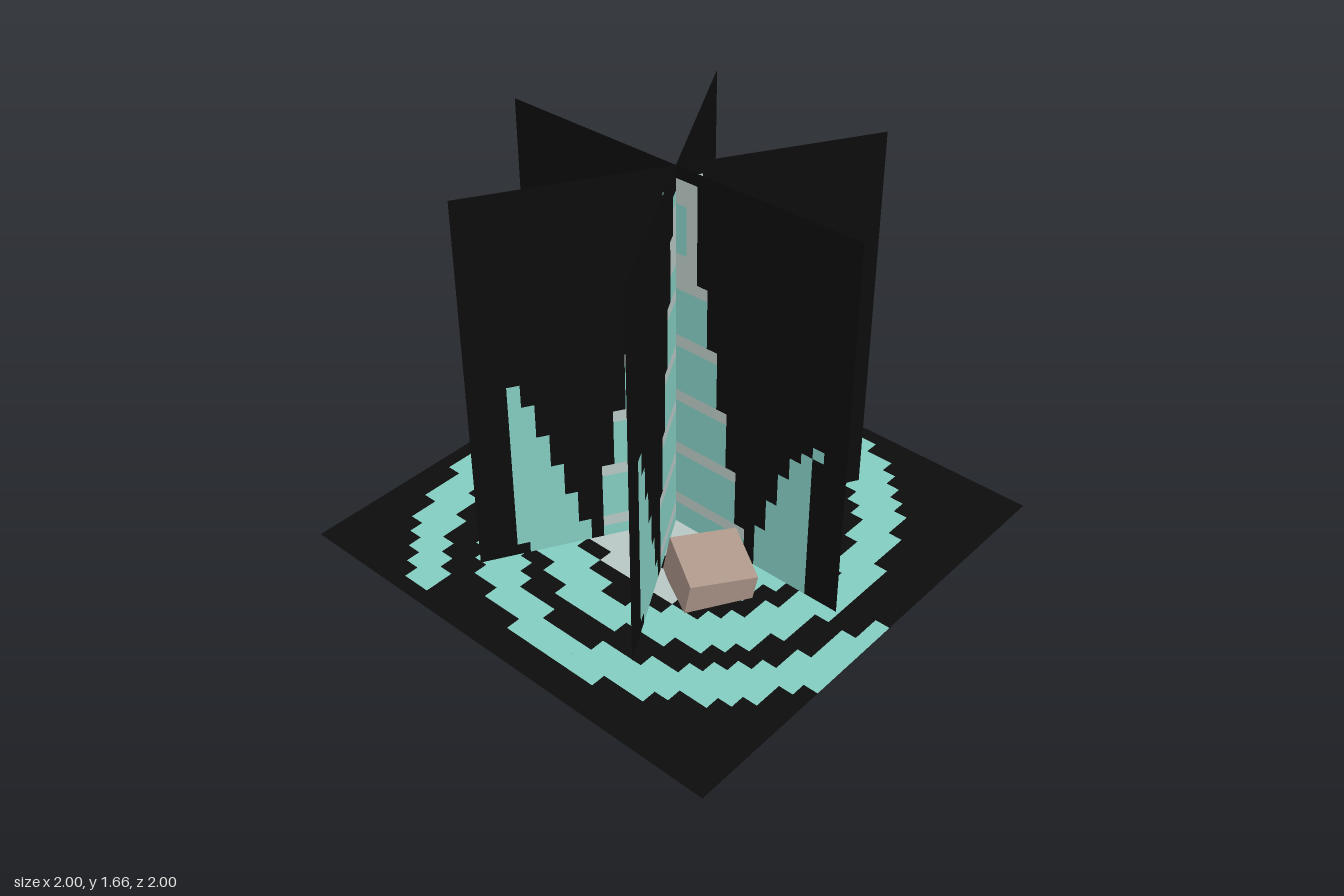
import * as THREE from 'three';
import { mergeGeometries } from 'three/addons/utils/BufferGeometryUtils.js';

const flat = (name, color) => {
  const m = new THREE.MeshStandardMaterial({ color, side: THREE.DoubleSide });
  m.name = name;
  return m;
};

const N = 32; // cells along each side of a panel

// Square panel of coloured cells; neighbouring cells of one colour in a row share a face
function mosaic(name, size, colourAt, materials) {
  const cell = size / N, pieces = {};
  for (let row = 0; row < N; row++) {
    for (let start = 0, col = 1; col <= N; col++) {
      const key = colourAt(start, row);
      if (col < N && colourAt(col, row) === key) continue;
      const face = new THREE.PlaneGeometry((col - start) * cell, cell);
      face.translate(((start + col) / 2) * cell - size / 2, (row + 0.5) * cell - size / 2, 0);
      (pieces[key] ??= []).push(face);
      start = col;
    }
  }
  const panel = new THREE.Group();
  panel.name = name;
  for (const key in pieces) {
    const mesh = new THREE.Mesh(mergeGeometries(pieces[key]), materials[key]);
    mesh.name = `${name} ${key}`;
    panel.add(mesh);
  }
  return panel;
}

// Stepped central tower with pale bands, flanked by a spike on each side
const leftSpike = { 7: 2, 8: 5, 9: 8, 10: 11, 11: 14, 12: 16 };
const rightSpike = { 8: 4, 9: 7, 10: 10, 11: 12, 12: 13 };
function towerColour(col, row) {
  const left = col < N / 2;
  const c = left ? N / 2 - 1 - col : col - N / 2;
  const shift = left ? 2 : 3;
  const steps = 6 - Math.floor((row - shift) / 5);
  const half = left ? Math.min(6, Math.max(1, steps)) : Math.max(2, steps);
  if (c < half && row < (left ? 30 : 31)) {
    if (left ? row >= 24 && row < 29 : row >= 23) {
      return !left && c === 0 && row >= 25 && row < 29 ? 'teal' : 'pale';
    }
    return row % 5 === shift - 1 ? 'pale' : 'teal';
  }
  if (!left && c === 13 && row === 13) return 'teal';
  if (left && c === 12 && row === 0) return 'black';
  return row < ((left ? leftSpike : rightSpike)[c] ?? 0) ? 'teal' : 'black';
}

// Three-armed spiral, stamped two cells wide, pale toward the middle
function spiralCells() {
  const cells = new Map();
  for (let arm = 0; arm < 3; arm++) {
    for (let deg = 0; deg <= 515; deg++) {
      const r = Math.pow(1 - deg / 540, 1.3);
      const a = THREE.MathUtils.degToRad(deg + arm * 120);
      const px = Math.round(16 + 16 * r * Math.cos(a));
      const pz = Math.round(16 + 16 * r * Math.sin(a));
      for (const dx of [-1, 0]) for (const dz of [-1, 0]) {
        cells.set(`${px + dx},${pz + dz}`, r < 0.37 ? 'pale' : 'teal');
      }
    }
  }
  return cells;
}

export function createModel() {
  const model = new THREE.Group();
  model.name = 'spiralTower';
  const materials = {
    black: flat('black', 0x0c0c0c),
    teal: flat('teal', 0x84cdc1),
    pale: flat('pale grey green', 0xb8c8c4),
  };
  const crateMaterial = new THREE.MeshStandardMaterial({ color: 0xae988b });
  crateMaterial.name = 'dusty brown';

  // Ground panel
  const cells = spiralCells();
  const ground = mosaic('ground', 2, (c, r) => cells.get(`${c},${N - 1 - r}`) ?? 'black', materials);
  ground.rotation.x = -Math.PI / 2;
  ground.position.y = 0.06;
  model.add(ground);

  for (let i = 0; i < 3; i++) {
    // Upright panels crossing on the middle axis
    const panel = mosaic(`towerPanel${i + 1}`, 1.6, towerColour, materials);
    panel.position.y = 0.86;
    panel.rotation.y = (i * Math.PI) / 3;
    model.add(panel);

    // Blocks around the tower, all leaning the same way
    const yaw = (i * Math.PI * 2) / 3;
    const block = new THREE.Mesh(new THREE.BoxGeometry(0.27, 0.18, 0.25), crateMaterial);
    block.name = `block${i + 1}`;
    block.position.set(-0.405 * Math.sin(yaw), 0.125, -0.405 * Math.cos(yaw));
    block.rotation.set(0, yaw, -0.2, 'ZYX');
    model.add(block);
  }
  return model;
}
